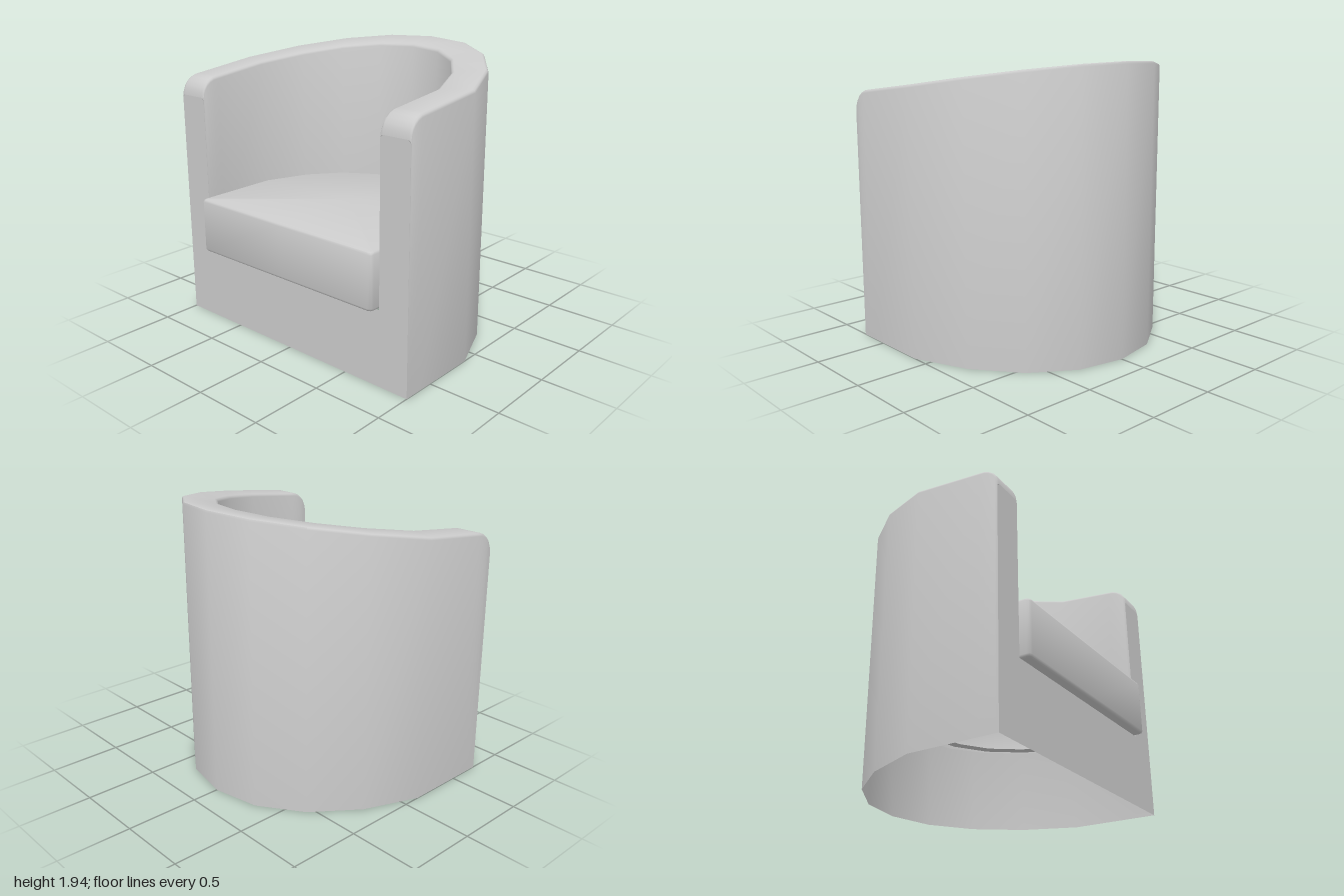
import * as THREE from 'three';
import { toCreasedNormals } from 'three/addons/utils/BufferGeometryUtils.js';

const FRONT = 0.735, ROUND = 0.135, SEAT = 0.52, BEVEL = 0.02;

const material = new THREE.MeshStandardMaterial({ color: 0xcccccc, side: THREE.DoubleSide });

// Skin a list of cross-sections (each a list of [x, y, z]) into one surface.
function loft(sections, crease = 0.85) {
  const n = sections[0].length, index = [];
  for (let i = 0; i < sections.length - 1; i++) {
    for (let j = 0; j < n - 1; j++) {
      const a = i * n + j, b = a + n;
      index.push(a, b, b + 1, a, b + 1, a + 1);
    }
  }
  const g = new THREE.BufferGeometry();
  g.setAttribute('position', new THREE.Float32BufferAttribute(sections.flat(2), 3));
  g.setIndex(index);
  return toCreasedNormals(g, crease);
}

// Complete a half outline (+x side, ending on x = 0) with its mirror image.
const mirror = (half) => [...half, ...half.slice(0, -1).reverse().map((p) => p.map((v, k) => (k % 2 ? v : -v)))];

// Height of the sloping rim, rolled over at the front of the arms.
function rimHeight(z) {
  const start = FRONT - ROUND;
  if (z > start) {
    const d = Math.min(1, (z - start) / ROUND);
    return 1.605 + ROUND * Math.sqrt(1 - d * d);
  }
  return z > 0.12 ? 1.74 + 0.12 * (start - z) : 1.797 + 0.159 * (0.12 - z);
}

// Wrap-around back and arms: outer wall, rim and inner wall, open below.
function shellGeometry() {
  const stations = [];
  for (let i = 0; i <= 6; i++) {
    const z = FRONT - ROUND + ROUND * Math.cos((i / 6) * Math.PI / 2);
    stations.push([1, z, 0.78, z]);
  }
  stations.push([1, 0.12, 0.78, 0.2], [0.85, -0.25, 0.66, -0.11], [0.62, -0.55, 0.485, -0.35],
    [0.33, -0.745, 0.26, -0.51], [0, -0.81, 0, -0.565]);
  return loft(mirror(stations).map(([ox, oz, ix, iz]) => {
    const at = (t, drop) => {
      const x = ox + (ix - ox) * t, z = oz + (iz - oz) * t;
      return [x, rimHeight(z) - drop, z];
    };
    const e = BEVEL / 0.24;
    return [[ox, 0, oz], at(0, BEVEL), at(e * 0.3, BEVEL * 0.3), at(e, 0),
      at(1 - e, 0), at(1 - e * 0.3, BEVEL * 0.3), at(1, BEVEL), [ix, SEAT, iz]];
  }));
}

// Flat front: both arm ends and the panel below the seat.
function frontGeometry() {
  const top = 1.605, half = [[1, 0], [1, top - BEVEL], [1 - BEVEL, top],
    [0.78 + BEVEL, top], [0.78, top - BEVEL], [0.78, SEAT]];
  const outline = [...half, ...half.slice().reverse().map(([x, y]) => [-x, y])];
  const shape = new THREE.Shape(outline.map(([x, y]) => new THREE.Vector2(x, y)));
  return new THREE.ShapeGeometry(shape).translate(0, 0, FRONT);
}

// Seat cushion: rounded top and bottom edges, hollow with a lip underneath.
function cushionGeometry() {
  const outline = mirror([[0, 0.803], [0.745, 0.803], [0.764, 0.796], [0.772, 0.775], [0.772, 0.2],
    [0.655, -0.11], [0.48, -0.335], [0.25, -0.475], [0, -0.525]]);
  const profile = [[0.1, 0.52], [0.02, 0.52], [0.006, 0.526], [0, 0.54],
    [0, 0.886], [0.006, 0.9], [0.02, 0.906], [0.772, 0.906]];
  return loft(outline.map(([x, z]) => profile.map(([inset, y]) => {
    const s = 1 - inset / 0.772;
    return [x * s, y, 0.14 + (z - 0.14) * s];
  })));
}

export function createModel() {
  const group = new THREE.Group();
  group.name = 'tubChair';
  const parts = { backAndArms: shellGeometry(), frontPanel: frontGeometry(), seatCushion: cushionGeometry() };
  for (const [name, geometry] of Object.entries(parts)) {
    const mesh = new THREE.Mesh(geometry, material);
    mesh.name = name;
    group.add(mesh);
  }
  return group;
}
